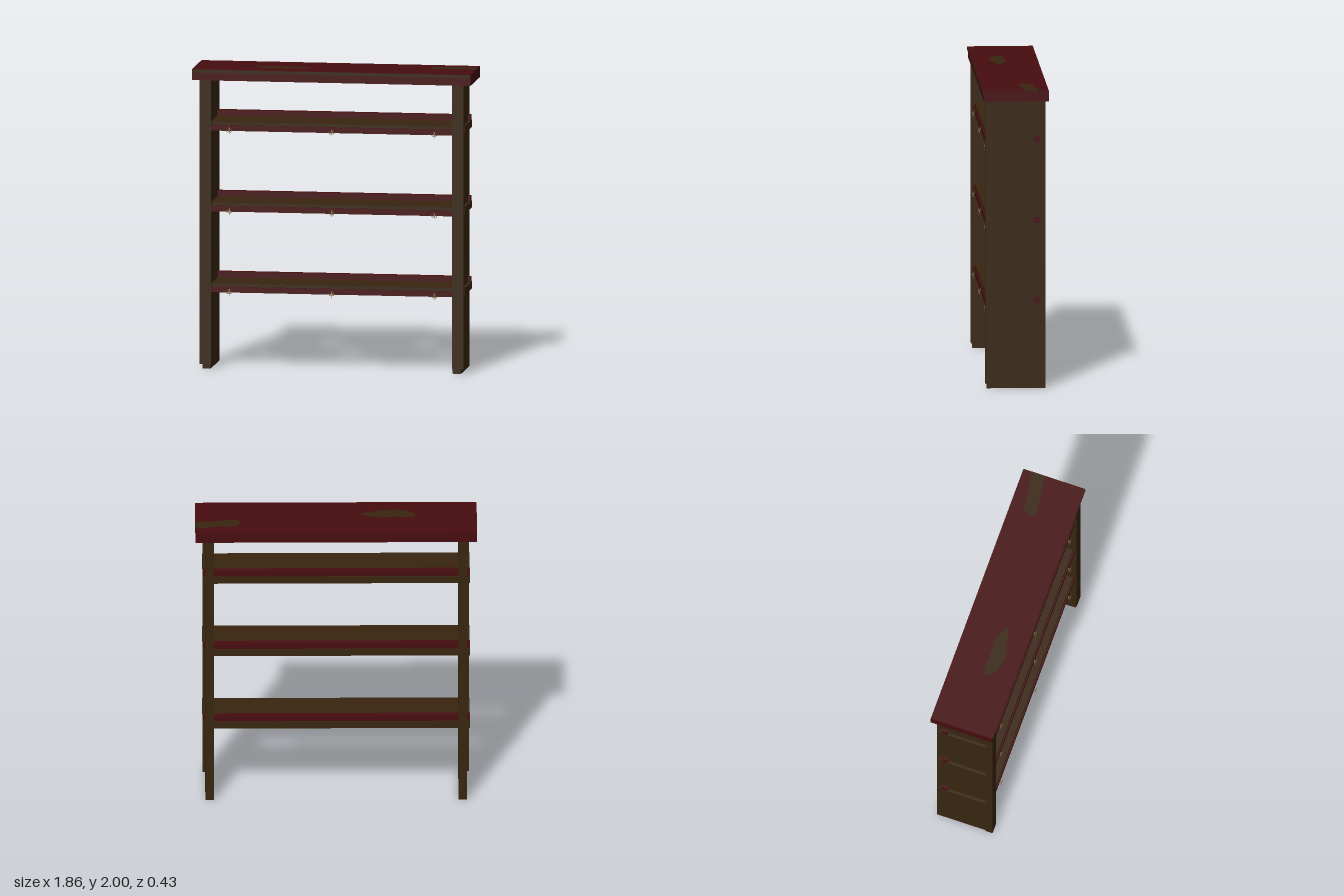
import * as THREE from 'three';

export function createModel() {
  const model = new THREE.Group();
  model.name = 'openBookcase';
  const mat = (name, color) => {
    const m = new THREE.MeshStandardMaterial({ color });
    m.name = name;
    return m;
  };
  const wood = mat('dark brown wood', 0x38250f);
  const red = mat('dark red paint', 0x470c0e);
  const brass = mat('aged brass', 0x8a7448);

  // Box given by its minimum and maximum on each axis
  const box = (name, material, [x0, x1], [y0, y1], [z0, z1], parent = model) => {
    const mesh = new THREE.Mesh(new THREE.BoxGeometry(x1 - x0, y1 - y0, z1 - z0), material);
    mesh.position.set((x0 + x1) / 2, (y0 + y1) / 2, (z0 + z1) / 2);
    mesh.name = name;
    parent.add(mesh);
    return mesh;
  };

  // Top board with a worn front edge
  box('topBoard', red, [-0.93, 0.93], [1.925, 1.998], [-0.217, 0.211]);
  box('wornFrontEdge', [wood, wood, red, wood, wood, wood], [-0.925, 0.925], [1.976, 1.998], [0.211, 0.217]);

  // Bare wood patches where the paint has worn away
  const patch = (name, points, y, depth) => {
    const shape = new THREE.Shape(points.map(([x, z]) => new THREE.Vector2(x, -z)));
    const geo = new THREE.ExtrudeGeometry(shape, { depth, bevelEnabled: false });
    geo.rotateX(-Math.PI / 2);
    const mesh = new THREE.Mesh(geo, wood);
    mesh.position.y = y;
    mesh.name = name;
    model.add(mesh);
  };
  const middle = [[-0.53, 0.02], [-0.51, 0.055], [-0.47, 0.09], [-0.4, 0.105], [-0.3, 0.1], [-0.25, 0.08],
    [-0.17, 0.065], [-0.155, 0.045], [-0.21, 0.02], [-0.27, 0], [-0.4, 0.005], [-0.5, 0]];
  const corner = [[0.63, -0.08], [0.64, -0.04], [0.7, -0.035], [0.8, -0.05], [0.93, -0.06],
    [0.93, -0.155], [0.85, -0.145], [0.78, -0.13], [0.66, -0.125]];
  patch('wornPatchMiddle', middle, 1.997, 0.003);
  patch('wornPatchCorner', corner, 1.997, 0.003);
  patch('wornPatchUnderside', middle, 1.923, 0.003);

  // Side panels with a front stile overlapping each one
  for (const s of [-1, 1]) {
    const span = (a, b) => (s > 0 ? [a, b] : [-b, -a]);
    box('sidePanel', wood, span(0.808, 0.864), [0, 1.925], [-0.197, 0.19]);
    box('frontStile', wood, span(0.806, 0.88), [0.03, 1.925], [0.15, 0.198]);
  }

  // Small forked hook
  const hook = (x, y, parent) => {
    const group = new THREE.Group();
    group.name = 'hook';
    group.position.set(x, y, 0.183);
    const tube = (name, pts) => {
      const curve = new THREE.CatmullRomCurve3(pts.map((p) => new THREE.Vector3(...p)));
      const mesh = new THREE.Mesh(new THREE.TubeGeometry(curve, 8, 0.0022, 5), brass);
      mesh.name = name;
      group.add(mesh);
    };
    box('hookPlate', brass, [-0.004, 0.004], [-0.006, 0.014], [-0.002, 0.002], group);
    tube('hookStem', [[0, 0.012, 0.001], [0, -0.008, 0.003], [0, -0.026, 0.008], [0.002, -0.022, 0.014]]);
    for (const s of [-1, 1]) {
      tube('hookProng', [[0, -0.006, 0.002], [s * 0.008, -0.015, 0.008], [s * 0.016, -0.008, 0.012], [s * 0.016, 0.004, 0.013]]);
    }
    parent.add(group);
  };

  // Shelves and back rails run through the side panels
  for (const top of [0.567, 1.106, 1.645]) {
    const shelf = new THREE.Group();
    shelf.name = 'shelf';
    model.add(shelf);
    box('shelfBoard', wood, [-0.883, 0.883], [top - 0.046, top], [-0.176, 0.172], shelf);
    box('backRail', red, [-0.881, 0.881], [top, top + 0.038], [-0.162, -0.118], shelf);
    box('frontLip', red, [-0.808, 0.808], [top - 0.058, top - 0.02], [0.165, 0.182], shelf);
    for (const x of [-0.685, 0, 0.685]) hook(x, top - 0.05, shelf);
  }

  return model;
}
